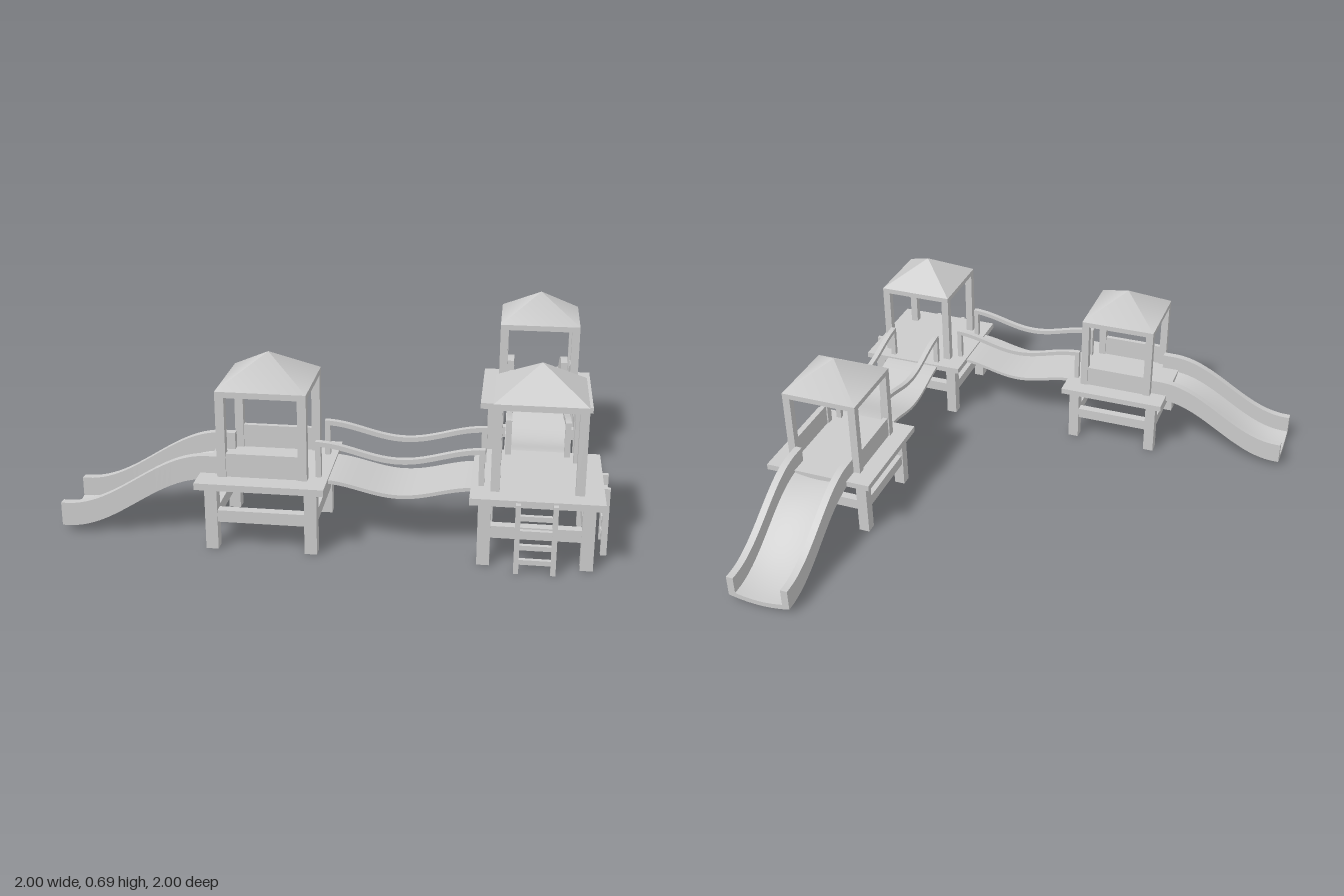
import * as THREE from 'three';
import { toCreasedNormals } from 'three/addons/utils/BufferGeometryUtils.js';

const grey = new THREE.MeshStandardMaterial({ color: 0xcccccc });
const greyFlat = new THREE.MeshStandardMaterial({ color: 0xcccccc, flatShading: true });

const CORNER = 0.74;      // x and z of the corner tower
const SPACING = 0.9725;   // distance between tower centres
const DECK = 0.465, DECK_LOW = 0.24, DECK_TOP = 0.265;

function add(parent, name, geometry, x = 0, y = 0, z = 0, material = grey) {
  const mesh = new THREE.Mesh(geometry, material);
  mesh.name = name;
  mesh.position.set(x, y, z);
  parent.add(mesh);
  return mesh;
}

// Box given by its size, its underside height and its centre
function box(parent, name, w, h, d, x, y, z) {
  return add(parent, name, new THREE.BoxGeometry(w, h, d), x, y + h / 2, z);
}

// Lift every vertex by a height that depends on its x
function bend(geometry, height) {
  const p = geometry.attributes.position;
  for (let i = 0; i < p.count; i++) p.setY(i, p.getY(i) + height(p.getX(i)));
  geometry.computeVertexNormals();
  return geometry;
}

// Raised platform on four legs with a roof on four posts
function tower(name, roofMaterial) {
  const g = new THREE.Group();
  g.name = name;
  box(g, 'deck', DECK, DECK_TOP - DECK_LOW, DECK, 0, DECK_LOW, 0);
  for (const sx of [-1, 1]) {
    for (const sz of [-1, 1]) {
      box(g, 'leg', 0.045, DECK_LOW, 0.045, sx * 0.18, 0, sz * 0.18);
      box(g, 'roofPost', 0.032, 0.32, 0.032, sx * 0.1465, DECK_TOP, sz * 0.1465);
    }
    box(g, 'legBeam', 0.315, 0.045, 0.035, 0, 0.105, sx * 0.18);
    box(g, 'legBeam', 0.035, 0.045, 0.315, sx * 0.18, 0.105, 0);
  }
  box(g, 'roofPlate', 0.325, 0.022, 0.325, 0, 0.565, 0);
  const roof = new THREE.ConeGeometry(0.325 / Math.SQRT2, 0.105, 4, 1);
  roof.rotateY(Math.PI / 4);
  add(g, 'roof', roof, 0, 0.587 + 0.0525, 0, roofMaterial);
  return g;
}

// Sagging walkway with a curved handrail on each side
function bridge() {
  const g = new THREE.Group();
  g.name = 'bridge';
  const sag = (depth, length) => (x) =>
    -depth * 0.5 * (1 + Math.cos((2 * Math.PI * x) / length));
  add(g, 'walkway', bend(new THREE.BoxGeometry(0.56, 0.014, 0.25, 28, 1, 1), sag(0.045, 0.56)), 0, 0.252, 0);
  for (const sz of [-1, 1]) {
    add(g, 'handrail', bend(new THREE.BoxGeometry(0.6, 0.018, 0.022, 28, 1, 1), sag(0.052, 0.6)), 0, 0.391, sz * 0.109);
    for (const sx of [-1, 1]) box(g, 'railPost', 0.02, 0.135, 0.022, sx * 0.29, DECK_TOP, sz * 0.109);
  }
  return g;
}

// Trough with upright sides and a slightly rounded bed, swept down an S-curve
function slide() {
  const s = new THREE.Shape();
  s.moveTo(-0.133, 0.09);
  s.lineTo(-0.133, 0);
  s.quadraticCurveTo(0, -0.034, 0.133, 0);
  s.lineTo(0.133, 0.09);
  s.lineTo(0.103, 0.09);
  s.lineTo(0.103, 0.016);
  s.quadraticCurveTo(0, -0.008, -0.103, 0.016);
  s.lineTo(-0.103, 0.09);
  s.closePath();
  const length = 0.61;
  let geo = new THREE.ExtrudeGeometry(s, { depth: length, steps: 30, bevelEnabled: false, curveSegments: 10 });
  geo.rotateY(-Math.PI / 2);
  bend(geo, (x) => {
    const t = THREE.MathUtils.clamp((-x - 0.05) / 0.54, 0, 1);
    return 0.024 + 0.216 * 0.5 * (1 + Math.cos(Math.PI * t));
  });
  geo = toCreasedNormals(geo, 0.6);
  const mesh = new THREE.Mesh(geo, grey);
  mesh.name = 'slide';
  return mesh;
}

// Short ladder facing +x
function ladder() {
  const g = new THREE.Group();
  g.name = 'ladder';
  for (const sz of [-1, 1]) box(g, 'ladderRail', 0.022, 0.258, 0.018, 0, 0, sz * 0.064);
  for (let i = 0; i < 4; i++) box(g, 'rung', 0.016, 0.018, 0.115, 0, 0.035 + i * 0.055, 0);
  return g;
}

// Bridge, outer tower and slide, running toward -x from the corner
function arm() {
  const g = new THREE.Group();
  const b = bridge();
  b.position.x = -SPACING / 2;
  const t = tower('outerTower', grey);
  t.position.x = -SPACING;
  for (const sz of [-1, 1]) box(t, 'sidePanel', 0.262, 0.088, 0.02, 0, DECK_TOP, sz * 0.1465);
  const s = slide();
  s.position.x = -1.13;
  g.add(b, t, s);
  return g;
}

export function createModel() {
  const model = new THREE.Group();
  model.name = 'playground';
  const site = new THREE.Group();
  site.name = 'playStructure';
  site.position.set(CORNER, 0, CORNER);
  model.add(site);

  site.add(tower('cornerTower', greyFlat));

  // One arm to the right, one to the back; ladders on the two outer sides
  ['rightArm', 'backArm'].forEach((name, i) => {
    const a = arm();
    a.name = name;
    a.rotation.y = -i * Math.PI / 2;
    const l = ladder();
    const turned = new THREE.Group();
    turned.name = i ? 'frontLadder' : 'leftLadder';
    l.position.x = DECK / 2 + 0.012;
    turned.add(l);
    turned.rotation.y = -i * Math.PI / 2;
    site.add(a, turned);
  });
  return model;
}
